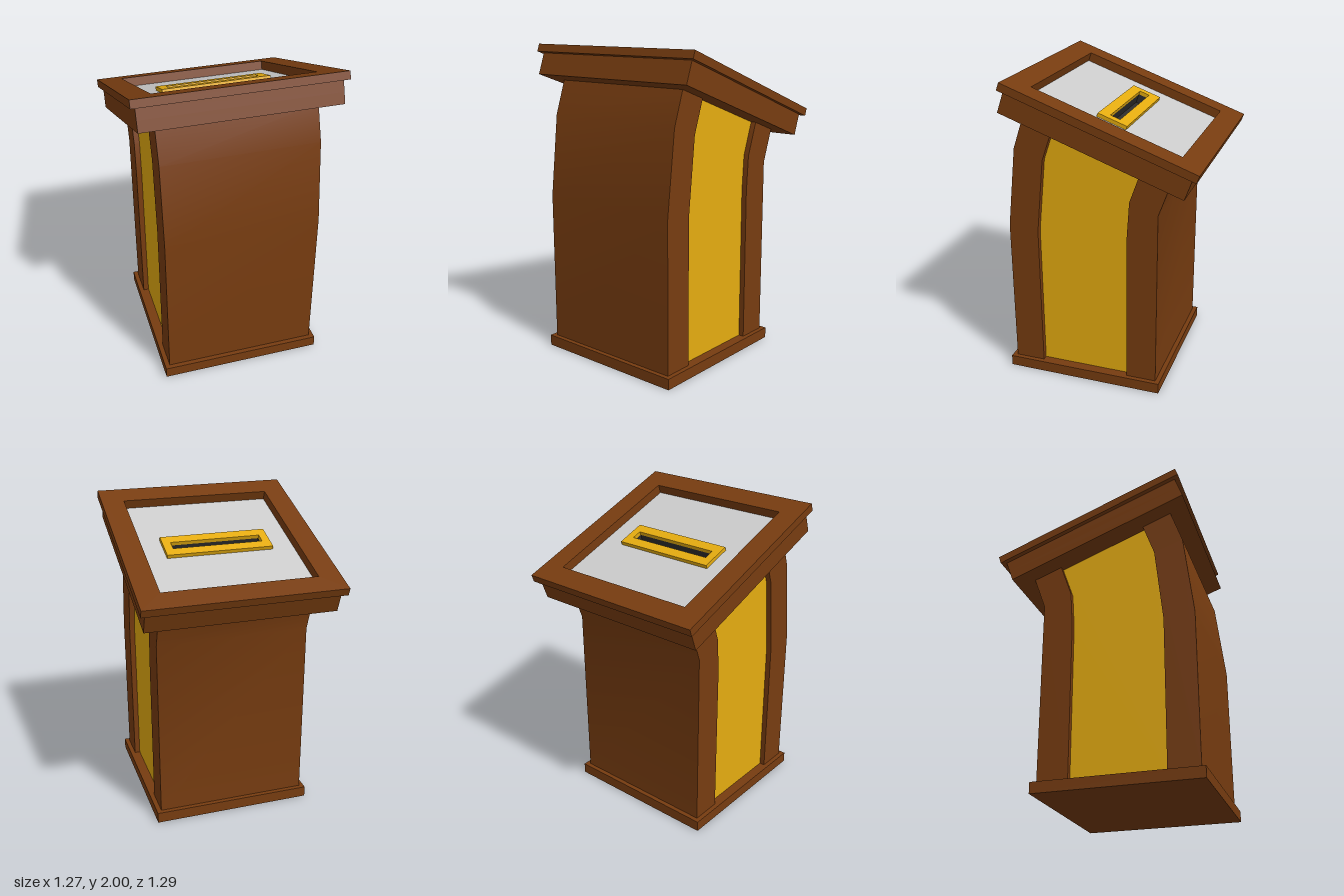
import * as THREE from 'three';
import { toCreasedNormals } from 'three/addons/utils/BufferGeometryUtils.js';

const mat = (color) => new THREE.MeshStandardMaterial({ color });

function rect(Type, w, d) {
  const x = w / 2, y = d / 2;
  return new Type([[-x, -y], [x, -y], [x, y], [-x, y]].map((p) => new THREE.Vector2(...p)));
}

// Flat plate from yLow to yHigh, with an optional rectangular opening
function plate(w, d, yLow, yHigh, hole) {
  const shape = rect(THREE.Shape, w, d);
  if (hole) shape.holes.push(rect(THREE.Path, ...hole));
  const geo = new THREE.ExtrudeGeometry(shape, { depth: yHigh - yLow, bevelEnabled: false });
  return geo.rotateX(-Math.PI / 2).translate(0, yLow, 0);
}

// Side profile of [z, y] points, extruded across the width
function sideProfile(points, width) {
  const shape = new THREE.Shape(points.map((p) => new THREE.Vector2(...p)));
  const geo = new THREE.ExtrudeGeometry(shape, { depth: width, bevelEnabled: false });
  return toCreasedNormals(geo.translate(0, 0, -width / 2).rotateY(-Math.PI / 2), 0.5);
}

export function createModel() {
  const model = new THREE.Group();
  const wood = mat(0x773c10), gold = mat(0xe5ac10), grey = mat(0xcccccc), dark = mat(0x2d2d2d);
  const add = (parent, name, geo, material) => {
    const mesh = new THREE.Mesh(geo, material);
    mesh.name = name;
    parent.add(mesh);
    return mesh;
  };

  // Base slab
  add(model, 'base', new THREE.BoxGeometry(1.04, 0.07, 1.04).translate(0, 0.035, 0.125), wood);

  // Curved front and back boards, with the recessed core between them
  const frontOuter = [[0.615, 0.07], [0.615, 1.04], [0.555, 1.56], [0.48, 1.78]];
  const frontInner = [[0.42, 0.07], [0.42, 1.02], [0.37, 1.5], [0.295, 1.715]];
  const backInner = [[-0.17, 0.07], [-0.17, 1.07], [-0.185, 1.3], [-0.262, 1.52]];
  const backOuter = [[-0.365, 0.07], [-0.365, 1.235], [-0.443, 1.455]];
  const between = (a, b) => [...a, ...[...b].reverse()];
  add(model, 'frontBoard', sideProfile(between(frontOuter, frontInner), 0.98), wood);
  add(model, 'backBoard', sideProfile(between(backInner, backOuter), 0.98), wood);
  add(model, 'sidePanels', sideProfile(between(frontInner, backInner), 0.91), gold);

  // Tilted desk top, built flat with its upper face at y = 0
  const top = new THREE.Group();
  top.name = 'deskTop';
  top.position.set(0, 1.787, -0.0425);
  top.rotation.x = THREE.MathUtils.degToRad(-19.6);
  model.add(top);
  add(top, 'lip', plate(1.27, 1.27, -0.05, 0, [0.98, 0.98]), wood);
  add(top, 'trayWalls', plate(1.21, 1.21, -0.12, -0.05, [0.98, 0.98]), wood);
  add(top, 'trayBottom', plate(1.21, 1.21, -0.19, -0.12), wood);

  // Recessed panel with a framed slot
  add(top, 'inlayPanel', plate(0.98, 0.98, -0.12, -0.058, [0.62, 0.1]), grey);
  add(top, 'slotLiner', plate(0.62, 0.1, -0.12, -0.058, [0.585, 0.066]), dark);
  add(top, 'slotFloor', plate(0.585, 0.066, -0.12, -0.117), dark);
  add(top, 'slotFrame', plate(0.69, 0.196, -0.058, -0.034, [0.585, 0.066]), gold);

  return model;
}
